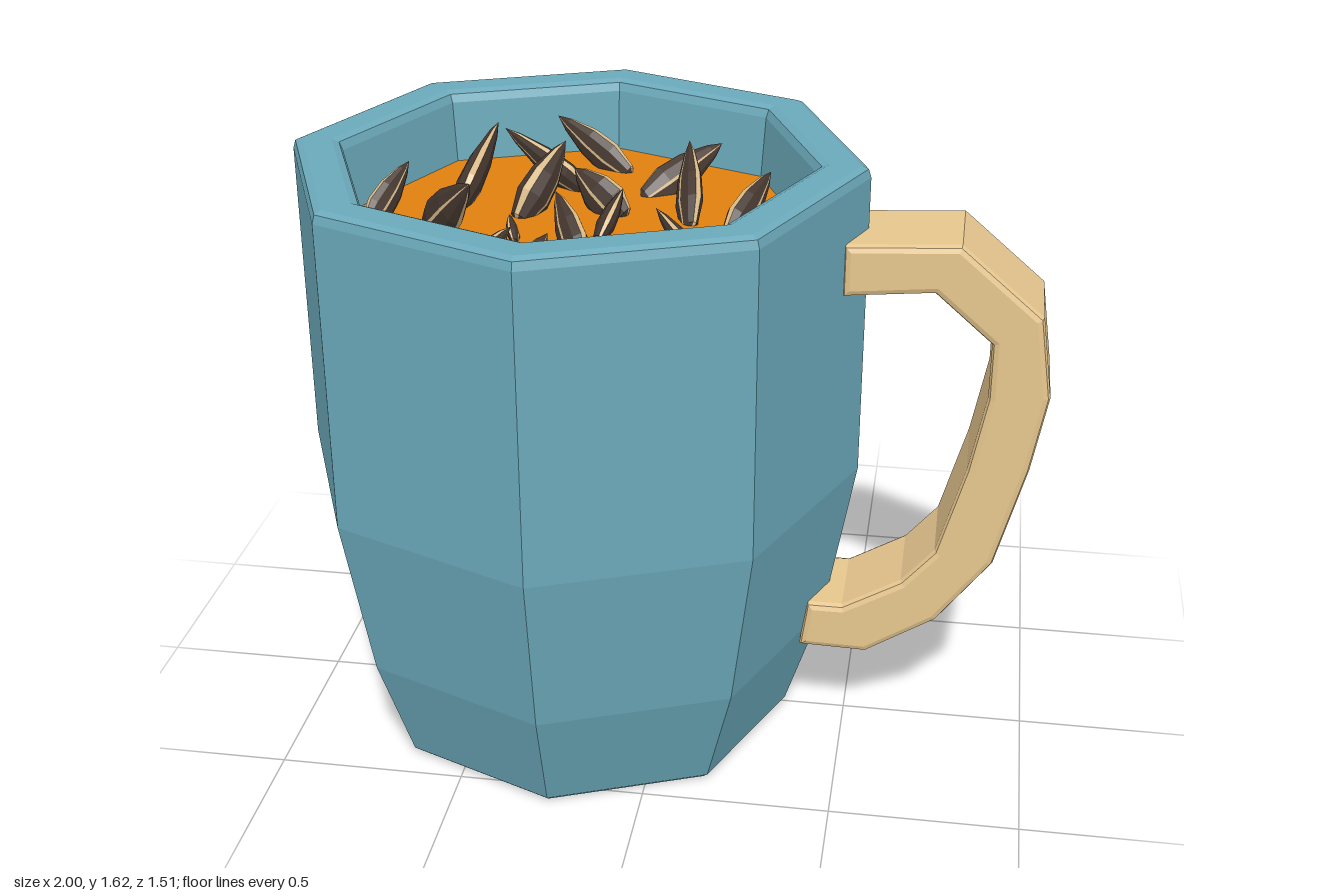
import * as THREE from 'three';
import { mergeGeometries } from 'three/addons/utils/BufferGeometryUtils.js';

const material = (color) => new THREE.MeshStandardMaterial({ color, flatShading: true });
const blue = material(0x6ba9ba);
const wood = material(0xe6c68e);
const orange = material(0xe0800f);
const dark = material(0x45372f);
const tan = material(0xd8b987);

const CUP_X = -0.245;
const SOUP_Y = 1.43;
const v2 = ([x, y]) => new THREE.Vector2(x, y);

function mesh(name, geometry, mat) {
  const m = new THREE.Mesh(geometry, mat);
  m.name = name;
  return m;
}

// Eight-sided mug wall, floor and rounded rim
function createCup() {
  const profile = [
    [0, 0], [0.56, 0], [0.577, 0.015], [0.675, 0.315], [0.755, 0.77],
    [0.755, 1.595], [0.748, 1.617], [0.73, 1.625], [0.65, 1.625],
    [0.63, 1.617], [0.621, 1.595], [0.605, SOUP_Y - 0.02],
  ].map(v2);
  return mesh('cup', new THREE.LatheGeometry(profile, 8), blue);
}

function createSoup() {
  const soup = mesh('soup', new THREE.CircleGeometry(0.608, 8), orange);
  soup.rotation.x = -Math.PI / 2;
  soup.position.y = SOUP_Y;
  return soup;
}

// Faceted handle: bevelled outline of outer and inner edge
function createHandle() {
  const outline = [
    [0.457, 1.457], [0.75, 1.473], [0.965, 1.29], [0.997, 1.07], [0.96, 0.86],
    [0.885, 0.575], [0.745, 0.388], [0.56, 0.27], [0.377, 0.275],
    [0.395, 0.41], [0.49, 0.41], [0.645, 0.50], [0.73, 0.60], [0.80, 0.85],
    [0.84, 1.06], [0.84, 1.21], [0.69, 1.34], [0.457, 1.318],
  ].map(v2);
  const bevel = 0.018;
  const width = 0.28;
  const geometry = new THREE.ExtrudeGeometry(new THREE.Shape(outline), {
    depth: width - 2 * bevel, bevelSize: bevel, bevelThickness: bevel,
    bevelOffset: -bevel, bevelSegments: 2,
  });
  geometry.translate(0, 0, -width / 2 + bevel - 0.008);
  return mesh('handle', geometry, wood);
}

// Unit seed running along y, split into lengthwise strips [start, width]
const SEED_PROFILE = [[0, -0.5], [0.3, -0.43], [0.5, -0.18], [0.44, 0.08], [0.2, 0.36], [0, 0.5]].map(v2);
const strips = (list) => mergeGeometries(
  list.map(([start, width]) => new THREE.LatheGeometry(SEED_PROFILE, width > 0.6 ? 2 : 1, start, width)));
const stripePlan = [0, 1, 2, 3].map((i) => [i * Math.PI / 2, i % 2 ? 0.5 : 0.16]);
const stripeGeometry = strips(stripePlan.map(([mid, w]) => [mid - w / 2, w]));
const shellGeometry = strips(stripePlan.map(([mid, w], i) => {
  const next = i % 2 ? 0.16 : 0.5;
  return [mid + w / 2, Math.PI / 2 - w / 2 - next / 2];
}));

// Seeds stuck in the soup: sunk end x, z; raised end x, z; rise; thickness
const SEEDS = [
  [-0.20, -0.42, -0.40, -0.51, 0.12, 0.06],
  [-0.58, -0.08, -0.53, -0.34, 0.15, 0.07],
  [-0.28, -0.25, -0.50, -0.29, 0.15, 0.06],
  [-0.40, -0.04, -0.31, -0.18, 0.16, 0.09],
  [-0.15, -0.08, -0.28, -0.14, 0.10, 0.07],
  [-0.09, -0.24, 0.08, -0.40, 0.10, 0.06],
  [0.04, -0.05, 0.01, -0.26, 0.15, 0.06],
  [0.16, 0.03, 0.24, -0.16, 0.11, 0.06],
  [-0.78, 0.07, -0.71, -0.07, 0.12, 0.05],
  [-0.17, 0.09, -0.13, -0.03, 0.09, 0.05],
  [-0.38, 0.15, -0.41, 0.07, 0.04, 0.03],
  [-0.61, 0.10, -0.46, 0.27, 0.19, 0.07],
  [-0.19, 0.26, -0.28, 0.10, 0.12, 0.06],
  [0.14, 0.31, -0.01, 0.18, 0.12, 0.06],
  [-0.45, 0.44, -0.35, 0.31, 0.10, 0.06],
  [-0.15, 0.42, -0.09, 0.32, 0.09, 0.06],
  [-0.31, 0.55, -0.24, 0.39, 0.12, 0.06],
];

function createSeed([x0, z0, x1, z1, rise, thickness], i) {
  const seed = new THREE.Group();
  seed.name = 'seed' + (i + 1);
  seed.add(mesh('seedShell', shellGeometry, dark), mesh('seedStripes', stripeGeometry, tan));
  const tip = new THREE.Vector3(x1, SOUP_Y + rise, z1);
  const run = tip.clone().sub(new THREE.Vector3(x0, SOUP_Y, z0));
  const length = run.length() * 1.15;
  const up = run.normalize();
  // Broad side stands mostly upright, rolled a little per seed
  const side = new THREE.Vector3(-up.z, 0, up.x).normalize().applyAxisAngle(up, 0.55 * Math.sin(i * 2.3));
  const broad = new THREE.Vector3().crossVectors(up, side);
  seed.quaternion.setFromRotationMatrix(new THREE.Matrix4().makeBasis(broad, up, side));
  seed.position.copy(tip).addScaledVector(up, -length / 2);
  seed.scale.set(Math.min(0.12, thickness * 1.7), length, thickness);
  return seed;
}

export function createModel() {
  const model = new THREE.Group();
  model.name = 'soupMug';
  const vessel = new THREE.Group();
  vessel.name = 'filledCup';
  vessel.position.x = CUP_X;
  vessel.add(createCup(), createSoup());
  const seeds = new THREE.Group();
  seeds.name = 'seeds';
  seeds.add(...SEEDS.map(createSeed));
  model.add(vessel, createHandle(), seeds);
  return model;
}
